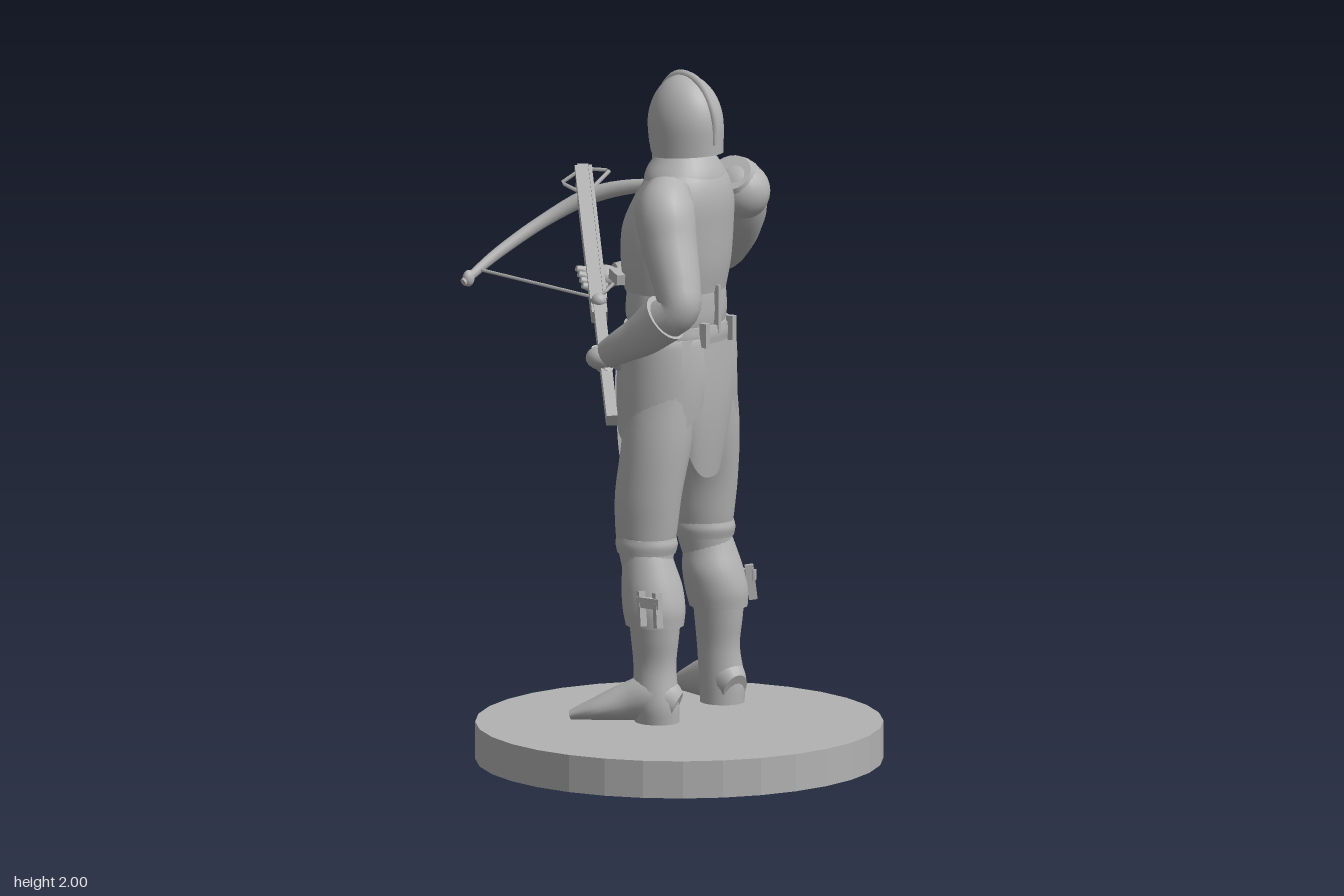
import * as THREE from 'three';
import { ParametricGeometry } from 'three/addons/geometries/ParametricGeometry.js';

const V = (x, y, z) => new THREE.Vector3(x, y, z);
const grey = new THREE.MeshStandardMaterial({ color: 0xb2b2b2, side: THREE.DoubleSide });
grey.name = 'plain grey';

function part(parent, name, geometry) {
  const m = new THREE.Mesh(geometry, grey);
  m.name = name;
  parent.add(m);
  return m;
}

// Closed skin over ellipses [x, y, z, ru, rv]; rings stay level when no ref is given (ru along z, rv along x).
function sweep(rows, ref = null, sides = 20, perRow = 5) {
  const path = new THREE.CatmullRomCurve3(rows.map(r => V(r[0], r[1], r[2])), false, 'catmullrom', 0.5);
  const size = new THREE.CatmullRomCurve3(rows.map(r => V(r[3], r[4], 0)), false, 'catmullrom', 0.5);
  const n = (rows.length - 1) * perRow, pos = [], idx = [];
  const ring = (t, k) => {
    const c = path.getPoint(t), s = size.getPoint(t), d = path.getTangent(t);
    const U = ref ? ref.clone().cross(d).normalize() : V(0, 0, 1);
    const W = ref ? d.clone().cross(U) : V(1, 0, 0);
    for (let j = 0; j < sides; j++) {
      const a = j / sides * Math.PI * 2;
      const p = c.clone().addScaledVector(U, Math.cos(a) * s.x * k).addScaledVector(W, Math.sin(a) * s.y * k);
      pos.push(p.x, p.y, p.z);
    }
  };
  const join = (r) => {
    for (let j = 0; j < sides; j++) {
      const k = (j + 1) % sides, a = r * sides + j, b = r * sides + k, c = b + sides, d = a + sides;
      idx.push(a, b, d, b, c, d);
    }
  };
  ring(0, 0); ring(0, 1);
  for (let i = 0; i <= n; i++) ring(i / n, 1);
  ring(1, 1); ring(1, 0);
  join(0);
  for (let i = 0; i < n; i++) join(i + 2);
  join(n + 3);
  const g = new THREE.BufferGeometry();
  g.setAttribute('position', new THREE.Float32BufferAttribute(pos, 3));
  g.setIndex(idx);
  g.computeVertexNormals();
  return g;
}

// Level loft from rows [y, x, z, rx, rz], bottom to top.
const loft = (rows) => sweep(rows.map(([y, x, z, rx, rz]) => [x, y, z, rz, rx]), null, 28);

function ball(parent, name, p, rx, ry, rz) {
  const m = part(parent, name, new THREE.SphereGeometry(1, 20, 14));
  m.position.set(...p);
  m.scale.set(rx, ry, rz);
  return m;
}

// Box bar between two points.
function bar(parent, name, a, b, w, h) {
  const m = part(parent, name, new THREE.BoxGeometry(w, h, a.distanceTo(b)));
  m.position.copy(a).lerp(b, 0.5);
  m.lookAt(b);
  return m;
}

function cord(parent, name, pts, r, closed = false) {
  const path = new THREE.CurvePath();
  const all = closed ? [...pts, pts[0]] : pts;
  for (let i = 0; i + 1 < all.length; i++) path.add(new THREE.LineCurve3(all[i], all[i + 1]));
  return part(parent, name, new THREE.TubeGeometry(path, 24, r, 6));
}

function addTorso(g) {
  part(g, 'breastplate', loft([[1.37, .062, 0, .137, .163], [1.45, .064, 0, .149, .176], [1.55, .07, 0, .15, .18],
    [1.63, .088, 0, .135, .168], [1.69, .1, 0, .112, .14], [1.74, .1, 0, .085, .1]]));
  part(g, 'waistPlate', loft([[1.26, .068, 0, .125, .155], [1.3, .065, 0, .134, .166], [1.35, .065, 0, .134, .162], [1.39, .065, 0, .13, .155]]));
  part(g, 'belt', loft([[1.225, .068, 0, .14, .178], [1.25, .068, 0, .143, .18], [1.275, .068, 0, .14, .178]]));
  part(g, 'collar', loft([[1.66, .1, 0, .115, .145], [1.71, .095, 0, .11, .125], [1.75, .095, 0, .09, .095], [1.78, .09, 0, .07, .07]]));
  part(g, 'hips', loft([[.93, .07, 0, .09, .14], [1.0, .07, 0, .115, .17], [1.12, .07, 0, .13, .18], [1.25, .068, 0, .13, .17]]));
  // back strap and belt fittings
  bar(g, 'backStrap', V(.2, 1.25, 0), V(.2, 1.39, 0), .024, .012);
  for (const z of [-.07, .07]) bar(g, 'beltLoop', V(.206, 1.22, z), V(.206, 1.29, z), .022, .02);
  ball(g, 'buckle', [-.078, 1.25, 0], .012, .035, .035);
  ball(g, 'pouch', [-.03, 1.2, .15], .035, .06, .035);
  bar(g, 'sideClasp', V(-.06, 1.42, .14), V(-.01, 1.41, .175), .025, .03);
}

function addSkirt(g) {
  // rounded hip guards
  for (const s of [1, -1]) {
    part(g, 'hipGuard', new ParametricGeometry((u, v, p) => {
      const a = (u - .5) * 2.6, depth = .31 * Math.pow(Math.cos(a), .35), b = Math.sin(Math.PI * Math.min(1, v * .85));
      p.set(.067 + (.138 + .012 * b) * Math.sin(a), 1.245 - v * depth, s * (.18 + .022 * Math.sqrt(v)) * Math.cos(a * .9));
    }, 24, 12));
  }
  // hanging cloth, rear and front
  for (const s of [1, -1]) {
    part(g, s > 0 ? 'rearCloth' : 'frontCloth', new ParametricGeometry((u, v, p) => {
      const w = u * 2 - 1, depth = .415 * (1 - .4 * Math.abs(w) ** 3);
      const out = s > 0 ? .137 + .012 * Math.sin(Math.PI * v) - .02 * v : .135 + .022 * v;
      p.set(.067 + s * (out - .03 * w * w), 1.245 - v * depth, w * (.14 + .015 * Math.sin(Math.PI * v) - .02 * v));
    }, 20, 12));
  }
}

function addLegs(g) {
  for (const s of [1, -1]) {
    const leg = new THREE.Group();
    leg.name = s > 0 ? 'leftLeg' : 'rightLeg';
    g.add(leg);
    part(leg, 'thigh', loft([[.56, .07, s * .158, .07, .068], [.64, .06, s * .152, .084, .075], [.7, .06, s * .15, .093, .08], [.8, .066, s * .147, .1, .084],
      [.95, .08, s * .125, .104, .092], [1.12, .08, s * .1, .11, .08]]));
    part(leg, 'kneeGarter', loft([[.625, .062, s * .153, .086, .08], [.65, .062, s * .152, .092, .082], [.67, .062, s * .152, .088, .078]]));
    part(leg, 'kneeGuard', loft([[.42, .1, s * .168, .085, .08], [.47, .095, s * .165, .092, .086], [.53, .085, s * .16, .088, .086], [.59, .075, s * .16, .076, .074], [.63, .07, s * .158, .066, .066]]));
    part(leg, 'boot', loft([[.14, .11, s * .172, .065, .06], [.2, .108, s * .175, .068, .062], [.3, .1, s * .168, .064, .054], [.38, .1, s * .168, .071, .062], [.44, .1, s * .168, .076, .07]]));
    part(leg, 'foot', sweep([[.165, .185, s * .155, .04, .045], [.11, .21, s * .175, .06, .07], [.03, .195, s * .205, .056, .055],
      [-.05, .172, s * .245, .052, .032], [-.115, .153, s * .28, .022, .013]], V(0, 1, 0)));
    // outer knee straps
    for (const x of [.1, .155]) bar(leg, 'kneeStrap', V(x, .53, s * .243), V(x + .01, .43, s * .25), .02, .025);
    bar(leg, 'kneeBuckle', V(.095, .5, s * .25), V(.17, .5, s * .25), .02, .03);
  }
}

// Four curled fingers laid along a step direction.
function addHand(g, palm, step, curl) {
  ball(g, 'palm', [palm.x, palm.y, palm.z], .05, .035, .043);
  for (let i = 0; i < 4; i++) {
    const p = palm.clone().addScaledVector(step, i - 1.5);
    const q = p.clone().add(curl);
    part(g, 'finger', sweep([[p.x, p.y, p.z, .015, .015], [(p.x + q.x) / 2, (p.y + q.y) / 2 - .008, (p.z + q.z) / 2, .015, .015],
      [q.x, q.y, q.z, .009, .009]], V(.3, 1, .2).normalize(), 8, 3));
  }
}

function addArms(g) {
  const left = new THREE.Group(), right = new THREE.Group();
  left.name = 'leftArm';
  right.name = 'rightArm';
  g.add(left, right);
  const rz = V(0, 0, 1), ry = V(0, 1, 0);
  part(left, 'sleeve', sweep([[.13, 1.69, .14, .06, .06], [.15, 1.63, .19, .085, .085], [.18, 1.54, .215, .08, .08], [.225, 1.43, .245, .068, .068],
    [.24, 1.365, .262, .06, .06], [.17, 1.32, .27, .06, .06], [.1, 1.27, .272, .05, .05]], rz));
  part(left, 'gauntlet', sweep([[.2, 1.34, .268, .073, .07], [.13, 1.285, .27, .062, .06], [.06, 1.245, .27, .05, .045], [0, 1.21, .26, .042, .036]], rz));
  addHand(left, V(-.025, 1.195, .25), V(-.022, .012, -.012), V(-.045, -.035, -.045));
  part(right, 'sleeve', sweep([[.165, 1.69, -.13, .06, .06], [.155, 1.64, -.18, .085, .085], [.125, 1.56, -.225, .084, .084], [.065, 1.47, -.275, .074, .074],
    [.005, 1.415, -.305, .064, .064], [-.07, 1.385, -.255, .056, .056], [-.13, 1.37, -.19, .048, .048]], ry));
  part(right, 'gauntlet', sweep([[-.04, 1.395, -.275, .066, .066], [-.1, 1.38, -.225, .058, .056], [-.16, 1.365, -.155, .048, .042], [-.205, 1.36, -.1, .04, .032]], ry));
  addHand(right, V(-.225, 1.355, -.07), V(-.017, .012, -.016), V(-.045, .005, .06));
  // shoulder caps
  ball(left, 'shoulderCap', [.145, 1.63, .185], .09, .075, .08);
  ball(right, 'shoulderCap', [.165, 1.63, -.18], .09, .085, .08);
}

function addHead(g) {
  const head = new THREE.Group();
  head.name = 'head';
  head.position.set(.09, 0, -.005);
  head.rotation.y = -.22;
  g.add(head);
  part(head, 'neck', new THREE.CylinderGeometry(.065, .07, .16, 20)).position.set(0, 1.75, 0);
  ball(head, 'face', [-.035, 1.81, 0], .083, .1, .076);
  ball(head, 'chin', [-.07, 1.745, 0], .045, .035, .045);
  const nose = part(head, 'nose', new THREE.ConeGeometry(.018, .06, 8));
  nose.position.set(-.118, 1.81, 0);
  // helmet, cut high over the face and low at cheeks and nape
  part(head, 'helmet', new ParametricGeometry((u, v, p) => {
    const a = u * Math.PI * 2, f = (1 - Math.cos(a)) / 2;
    const low = 1.75 + .105 * THREE.MathUtils.smoothstep(f, .66, .9) + .02 * (1 - f);
    const y = 1.99 - (1.99 - low) * v * v, h = Math.min(1, (1.99 - y) / .15);
    const r = Math.sqrt(1 - (1 - h) ** 2) * (1 - .25 * Math.max(0, 1.82 - y));
    p.set(r * (.118 * Math.cos(a) + .004), y, r * .1 * Math.sin(a));
  }, 40, 18));
  part(head, 'helmetRidge', sweep([[-.13, 1.835, 0, .008, .006], [-.112, 1.89, 0, .011, .01], [-.06, 1.965, 0, .014, .012], [0, 1.988, 0, .014, .012],
    [.065, 1.965, 0, .014, .012], [.114, 1.89, 0, .011, .01], [.118, 1.8, 0, .008, .006]], V(0, 0, 1), 8));
}

function addCrossbow(g) {
  const bow = new THREE.Group();
  bow.name = 'crossbow';
  g.add(bow);
  const tip = V(-.49, 1.59, -.37), butt = V(.11, 1.055, .41);
  const at = (t, dy = 0) => tip.clone().lerp(butt, t).add(V(0, dy, 0));
  bar(bow, 'stock', tip, butt, .032, .036);
  bar(bow, 'foreStock', at(.04, -.008), at(.58, -.008), .045, .04);
  for (const dx of [-.014, .014]) bar(bow, 'boltRail', at(.02, .02).add(V(dx, 0, -dx)), at(.55, .02).add(V(dx, 0, -dx)), .01, .014);
  ball(bow, 'stringCatch', at(.55, .02).toArray(), .022, .02, .022);
  bar(bow, 'trigger', at(.56, -.03), at(.72, -.055), .01, .012);
  // curved limbs
  const limb = [[-.65, 1.305, .01, .01, .012], [-.612, 1.375, -.115, .014, .017], [-.53, 1.46, -.24, .017, .02], [-.42, 1.53, -.315, .021, .024],
    [-.27, 1.568, -.345, .018, .02], [-.1, 1.575, -.343, .014, .017], [.015, 1.565, -.32, .01, .012]];
  part(bow, 'limbs', sweep(limb, V(0, 1, 0), 12));
  ball(bow, 'limbTip', [-.645, 1.315, -.01], .016, .024, .02);
  ball(bow, 'limbTip', [.0, 1.567, -.322], .024, .018, .018);
  cord(bow, 'string', [V(-.635, 1.335, -.05), at(.55, .025), V(-.06, 1.572, -.335)], .005);
  cord(bow, 'stirrup', [V(-.435, 1.53, -.3), V(-.535, 1.55, -.33), V(-.49, 1.59, -.37), V(-.41, 1.59, -.39)], .006, true);
}

export function createModel() {
  const model = new THREE.Group();
  model.name = 'crossbowSoldier';
  const base = part(model, 'base', new THREE.CylinderGeometry(.582, .582, .108, 32).toNonIndexed());
  base.geometry.computeVertexNormals();
  base.position.set(.075, .054, 0);
  addTorso(model);
  addSkirt(model);
  addLegs(model);
  addArms(model);
  addHead(model);
  addCrossbow(model);
  return model;
}
